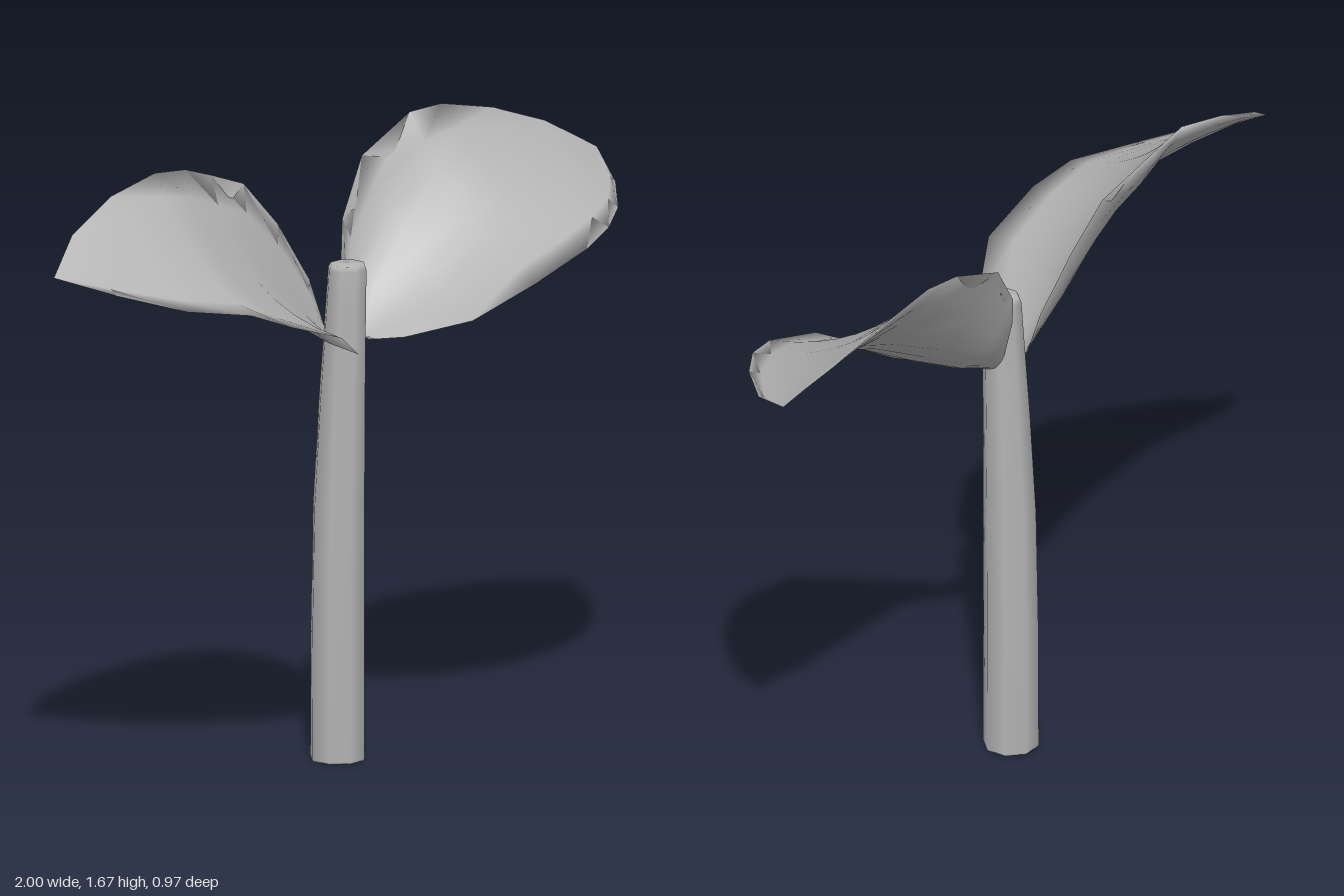
import * as THREE from 'three';

const V = (a) => new THREE.Vector3(...a);

// A thin cupped leaf, closed around its rim. Each row holds back edge xyz,
// front edge xyz, then the cup depth of the upper and of the lower side.
function leafGeometry(rows, across = 8) {
  const back = rows.map((r) => V(r.slice(0, 3)));
  const front = rows.map((r) => V(r.slice(3, 6)));
  const mid = back.map((b, i) => b.clone().lerp(front[i], 0.5));
  const last = rows.length - 1, ring = across * 2;
  const pos = [], index = [];
  for (let i = 0; i <= last; i++) {
    const along = mid[Math.min(i + 1, last)].clone().sub(mid[Math.max(i - 1, 0)]);
    const down = front[i].clone().sub(back[i]).cross(along).normalize();
    if (down.y > 0) down.negate();
    // over the top from back to front, then underneath to the back again
    for (let j = 0; j < ring; j++) {
      const t = j <= across ? j / across : 2 - j / across;
      const depth = j <= across ? rows[i][6] : rows[i][7];
      const p = back[i].clone().lerp(front[i], t);
      p.addScaledVector(down, depth * 4 * t * (1 - t));
      pos.push(p.x, p.y, p.z);
    }
  }
  const flip = mid[last].x < 0;
  for (let i = 0; i < last; i++) {
    for (let j = 0; j < ring; j++) {
      const k = (j + 1) % ring;
      const a = i * ring + j, b = i * ring + k, c = a + ring, d = b + ring;
      if (flip) index.push(a, c, b, b, c, d);
      else index.push(a, b, c, b, d, c);
    }
  }
  const g = new THREE.BufferGeometry();
  g.setAttribute('position', new THREE.Float32BufferAttribute(pos, 3));
  g.setIndex(index);
  g.computeVertexNormals();
  return g;
}

// Eight-sided tapering stem that leans to +x in its upper half
function stemGeometry() {
  const profile = [
    [0, 0], [0.073, 0], [0.076, 0.006], [0.075, 0.35], [0.072, 0.7],
    [0.064, 1.0], [0.056, 1.25], [0.054, 1.335], [0.048, 1.35], [0, 1.352],
  ].map(([r, y]) => new THREE.Vector2(r, y));
  const g = new THREE.LatheGeometry(profile, 8);
  const p = g.attributes.position;
  for (let i = 0; i < p.count; i++) {
    const k = Math.max(0, (p.getY(i) - 0.5) / 0.85);
    p.setX(i, p.getX(i) - 0.002 + 0.03 * Math.pow(k, 1.4));
    p.setZ(i, p.getZ(i) - 0.041);
  }
  return g;
}

const leftLeafRows = [
  [0.05, 1.2, -0.09, 0.06, 1.14, -0.05, 0.01, 0.01],
  [0.07, 1.33, -0.16, 0.1, 1.142, -0.01, 0.04, 0.05],
  [0.1, 1.43, -0.21, 0.16, 1.15, 0.035, 0.065, 0.085],
  [0.2, 1.575, -0.29, 0.32, 1.195, 0.12, 0.085, 0.11],
  [0.39, 1.655, -0.38, 0.49, 1.285, 0.155, 0.075, 0.11],
  [0.5, 1.66, -0.41, 0.68, 1.345, 0.085, 0.055, 0.09],
  [0.68, 1.62, -0.46, 0.79, 1.375, 0, 0.035, 0.065],
  [0.85, 1.56, -0.49, 0.88, 1.395, -0.12, 0.015, 0.035],
  [0.94, 1.51, -0.48, 0.965, 1.42, -0.3, 0.005, 0.015],
  [1, 1.475, -0.475, 1, 1.475, -0.475, 0, 0],
];

const rightLeafRows = [
  [-0.02, 1.2, -0.1, 0, 1.135, -0.03, 0.01, 0.01],
  [-0.05, 1.3, -0.11, -0.01, 1.14, 0.04, 0.04, 0.05],
  [-0.14, 1.46, -0.12, -0.04, 1.155, 0.12, 0.065, 0.08],
  [-0.25, 1.585, -0.105, -0.1, 1.18, 0.27, 0.085, 0.11],
  [-0.36, 1.625, -0.08, -0.22, 1.265, 0.405, 0.085, 0.11],
  [-0.45, 1.655, -0.055, -0.41, 1.33, 0.48, 0.07, 0.105],
  [-0.57, 1.67, 0, -0.53, 1.375, 0.48, 0.045, 0.08],
  [-0.73, 1.635, 0.055, -0.7, 1.395, 0.44, 0.02, 0.05],
  [-0.89, 1.565, 0.14, -0.87, 1.44, 0.355, 0.005, 0.02],
  [-1, 1.48, 0.245, -1, 1.48, 0.245, 0, 0],
];

export function createModel() {
  const grey = new THREE.MeshStandardMaterial({ color: 0xb4b4b4, side: THREE.DoubleSide });
  grey.name = 'plain grey';
  const group = new THREE.Group();
  group.name = 'sprout';
  const add = (name, geometry) => {
    const mesh = new THREE.Mesh(geometry, grey);
    mesh.name = name;
    group.add(mesh);
  };
  add('stem', stemGeometry());
  add('leftLeaf', leafGeometry(leftLeafRows));
  add('rightLeaf', leafGeometry(rightLeafRows));
  return group;
}
